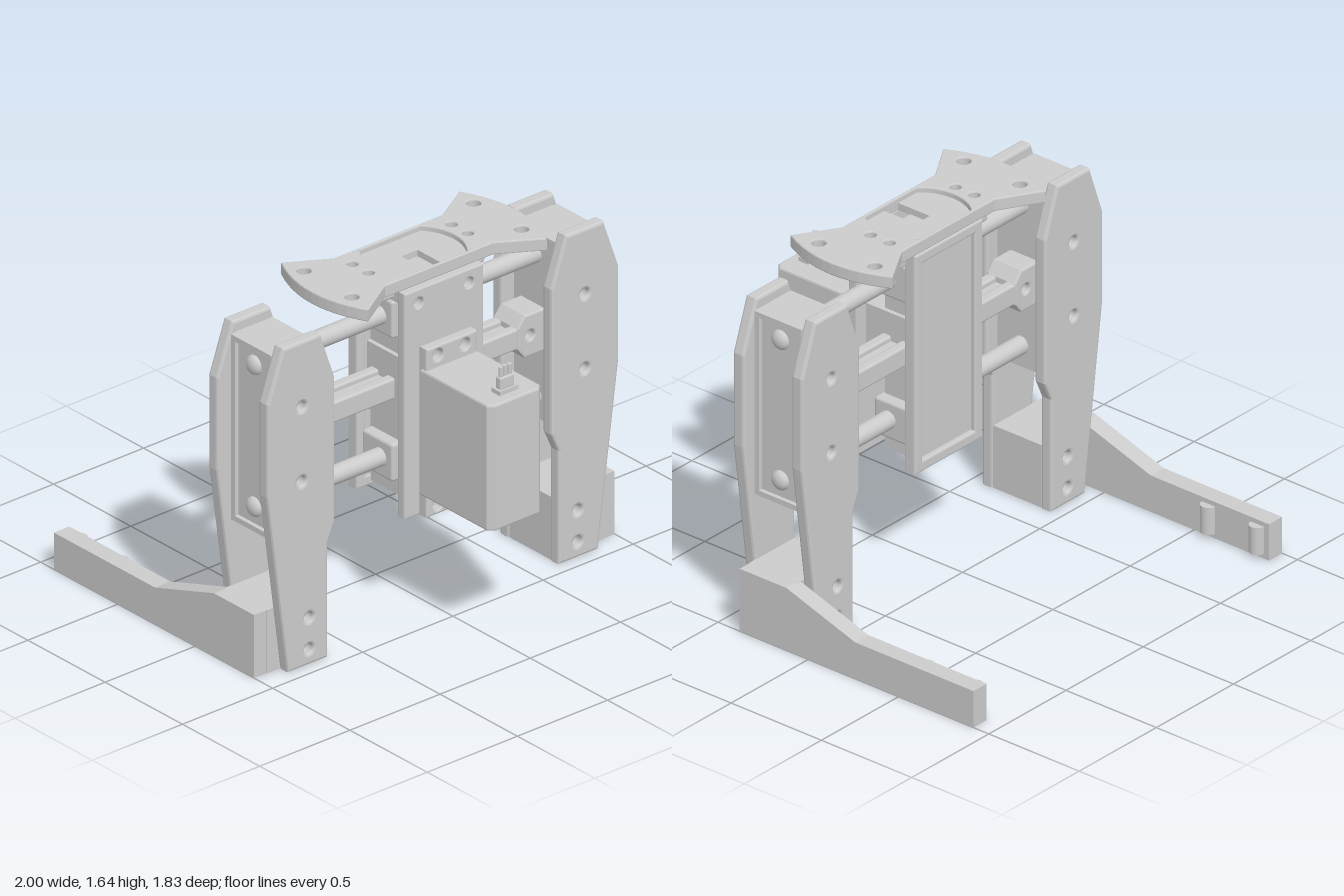
import * as THREE from 'three';
import { RoundedBoxGeometry } from 'three/addons/geometries/RoundedBoxGeometry.js';

const material = new THREE.MeshStandardMaterial({ color: 0xcccccc });

function add(parent, name, geometry, x = 0, y = 0, z = 0) {
  const mesh = new THREE.Mesh(geometry, material);
  mesh.name = name;
  mesh.position.set(x, y, z);
  parent.add(mesh);
  return mesh;
}

function box(parent, name, x0, x1, y0, y1, z0, z1, r = 0) {
  const s = [x1 - x0, y1 - y0, z1 - z0];
  const g = r ? new RoundedBoxGeometry(...s, 2, r) : new THREE.BoxGeometry(...s);
  return add(parent, name, g, (x0 + x1) / 2, (y0 + y1) / 2, (z0 + z1) / 2);
}

const polygon = points => new THREE.Shape(points.map(p => new THREE.Vector2(...p)));
const rect = (x0, x1, y0, y1) => polygon([[x0, y0], [x1, y0], [x1, y1], [x0, y1]]);

// Shape extruded along z from 0 to depth; holes are [x, y, radius]
function slab(shape, depth, holes = [], bevel = 0) {
  for (const [x, y, r] of holes) shape.holes.push(new THREE.Path().absarc(x, y, r, 0, Math.PI * 2, true));
  const g = new THREE.ExtrudeGeometry(shape, {
    depth: depth - 2 * bevel, curveSegments: 12, bevelEnabled: bevel > 0,
    bevelThickness: bevel, bevelSize: bevel, bevelOffset: -bevel, bevelSegments: 2
  });
  return g.translate(0, 0, bevel);
}

function rod(parent, name, x0, x1, y, z, r) {
  const g = new THREE.CylinderGeometry(r, r, x1 - x0, 20).rotateZ(Math.PI / 2);
  return add(parent, name, g, (x0 + x1) / 2, y, z);
}

// One jaw, built on the +x side
function buildJaw() {
  const jaw = new THREE.Group();
  const upperHoles = [[0.785, 1.24, 0.025], [0.785, 0.885, 0.025]];
  const lowerHoles = [[0.745, 0.225, 0.025], [0.745, 0.075, 0.025]];
  const outline = [[0.64, 0], [0.86, 0], [0.975, 0.87], [0.975, 1.31], [0.89, 1.55],
    [0.68, 1.55], [0.60, 1.32], [0.60, 0.63], [0.64, 0.54]];
  for (const [name, z] of [['frontJawPlate', 0.38], ['backJawPlate', 0.055]]) {
    add(jaw, name, slab(polygon(outline), 0.06, [...upperHoles, ...lowerHoles], 0.012), 0, 0, z);
  }

  // Carriage between the plates, with a raised rim on its outer face
  add(jaw, 'carriage', slab(rect(0.67, 0.885, 0.62, 1.5), 0.27, upperHoles), 0, 0, 0.113);
  for (const z of [0.12, 0.355]) box(jaw, 'carriageRim', 0.88, 0.905, 0.62, 1.5, z, z + 0.025);
  for (const y of [0.62, 1.475]) box(jaw, 'carriageRim', 0.88, 0.905, y, y + 0.025, 0.12, 0.38);
  for (const y of [0.725, 1.4]) {
    const head = add(jaw, 'rodEndCap', new THREE.SphereGeometry(0.046, 20, 12), 0.885, y, 0.25);
    head.scale.x = 0.65;
  }

  // Finger with its foot held between the plates
  add(jaw, 'fingerFoot', slab(rect(0.645, 0.93, 0, 0.3), 0.27, lowerHoles), 0, 0, 0.113);
  const profile = [[0.38, 0], [0.38, 0.3], [0.12, 0.3], [-0.26, 0.175], [-0.915, 0.175], [-0.915, 0]];
  add(jaw, 'finger', slab(polygon(profile), 0.085).rotateY(-Math.PI / 2), 1, 0, 0);
  for (const z of [-0.85, -0.58]) {
    add(jaw, 'gripRib', new THREE.CylinderGeometry(0.037, 0.037, 0.13, 16), 0.915, 0.088, z);
  }

  // Drive rack arms and the lug that joins them to the carriage
  for (const z of [0.155, 0.26]) box(jaw, 'driveRack', 0.12, 0.56, 1.01, 1.11, z, z + 0.05, 0.012);
  box(jaw, 'driveRackWeb', 0.12, 0.54, 1.035, 1.085, 0.19, 0.28);
  const lug = [[0.52, 1.01], [0.56, 0.96], [0.7, 0.96], [0.7, 1.16], [0.56, 1.16], [0.52, 1.11]];
  add(jaw, 'rackLug', slab(polygon(lug), 0.16, [[0.59, 1.06, 0.025]], 0.008), 0, 0, 0.153);
  return jaw;
}

function buildFlange() {
  const flange = new THREE.Group();
  flange.name = 'mountingFlange';
  // Bow-tie outline in x and z
  const s = new THREE.Shape();
  s.moveTo(-0.3, 0.08);
  s.lineTo(0.3, 0.08);
  s.lineTo(0.495, -0.035);
  s.quadraticCurveTo(0.645, 0.25, 0.495, 0.53);
  s.lineTo(0.3, 0.41);
  s.lineTo(-0.3, 0.41);
  s.lineTo(-0.495, 0.53);
  s.quadraticCurveTo(-0.645, 0.25, -0.495, -0.035);
  // Round socket, cut off level near the front and back edges
  const socket = new THREE.Path();
  socket.absarc(0, 0.245, 0.225, 0.73, -0.73, true);
  socket.absarc(0, 0.245, 0.225, Math.PI + 0.73, Math.PI - 0.73, true);
  s.holes.push(socket);
  const holes = [];
  for (const x of [-1, 1]) {
    holes.push([x * 0.47, 0.085, 0.031], [x * 0.47, 0.395, 0.031]);
    holes.push([x * 0.275, 0.17, 0.025], [x * 0.275, 0.275, 0.025]);
  }
  add(flange, 'flangePlate', slab(s, 0.06, holes, 0.006).rotateX(Math.PI / 2), 0, 1.64, 0);
  // Socket floor with a slot
  const floor = polygon([[-0.23, 0.09], [0.23, 0.09], [0.23, 0.4], [0.045, 0.4], [0.045, 0.22],
    [-0.045, 0.22], [-0.045, 0.4], [-0.23, 0.4]]);
  add(flange, 'socketFloor', slab(floor, 0.035).rotateX(Math.PI / 2), 0, 1.615, 0);
  box(flange, 'flangeSupport', -0.32, 0.32, 1.51, 1.585, 0.13, 0.34, 0.015);
  return flange;
}

function buildBody() {
  const body = new THREE.Group();
  body.name = 'centreBody';
  const screwHoles = [[-0.14, 1.515, 0.026], [0.14, 1.515, 0.026]];
  add(body, 'frontCover', slab(rect(-0.22, 0.22, 0.51, 1.58), 0.045, screwHoles, 0.006), 0, 0, 0.398);

  // Rear cover: a rim round a recessed panel
  const rim = rect(-0.22, 0.22, 0.53, 1.58);
  rim.holes.push(rect(-0.17, 0.17, 0.58, 1.53));
  add(body, 'rearCoverRim', slab(rim, 0.06, [], 0.008), 0, 0, 0.075);
  box(body, 'rearCoverPanel', -0.18, 0.18, 0.57, 1.54, 0.1, 0.13);

  // Inner housing and the blocks that carry the rods
  box(body, 'innerHousing', -0.14, 0.14, 0.55, 1.51, 0.12, 0.31);
  box(body, 'gearHousing', -0.16, 0.16, 0.9, 1.22, 0.12, 0.4);
  for (const y of [0.63, 1.31]) box(body, 'rodBlock', -0.19, 0.19, y, y + 0.18, 0.13, 0.33, 0.015);
  for (const x of [-0.19, 0.14]) box(body, 'spacer', x, x + 0.05, 1.5, 1.58, 0.1, 0.4);
  return body;
}

function buildMotor() {
  const motor = new THREE.Group();
  motor.name = 'motor';
  const holes = [];
  for (const x of [-0.075, 0.075]) holes.push([x, 1.265, 0.028], [x, 0.555, 0.028]);
  const tabs = slab(rect(-0.14, 0.14, 0.51, 1.31), 0.05, holes, 0.008);
  add(motor, 'motorMountTabs', tabs, 0, 0, 0.443);
  // Case with chamfered outer corners
  const plan = polygon([[-0.148, 0.46], [0.148, 0.46], [0.148, 0.89], [0.122, 0.915],
    [-0.122, 0.915], [-0.148, 0.89]]);
  add(motor, 'motorCase', slab(plan, 0.6, [], 0.01).rotateX(Math.PI / 2), 0, 1.21, 0);
  // Cable plug with three wires
  box(motor, 'plugBase', -0.052, 0.052, 1.205, 1.23, 0.81, 0.865);
  box(motor, 'plug', -0.04, 0.04, 1.225, 1.285, 0.82, 0.855, 0.008);
  for (const x of [-0.024, 0, 0.024]) {
    add(motor, 'wire', new THREE.CylinderGeometry(0.011, 0.011, 0.06, 10), x, 1.3, 0.838);
  }
  return motor;
}

export function createModel() {
  const model = new THREE.Group();
  model.name = 'gripper';
  const left = buildJaw();
  left.name = 'leftJaw';
  const right = buildJaw();
  right.name = 'rightJaw';
  right.scale.x = -1;
  model.add(left, right, buildFlange(), buildBody(), buildMotor());

  // Guide rods joining both jaws
  rod(model, 'upperGuideRod', -0.88, 0.88, 1.4, 0.25, 0.042);
  rod(model, 'lowerGuideRod', -0.88, 0.88, 0.725, 0.25, 0.042);
  return model;
}
